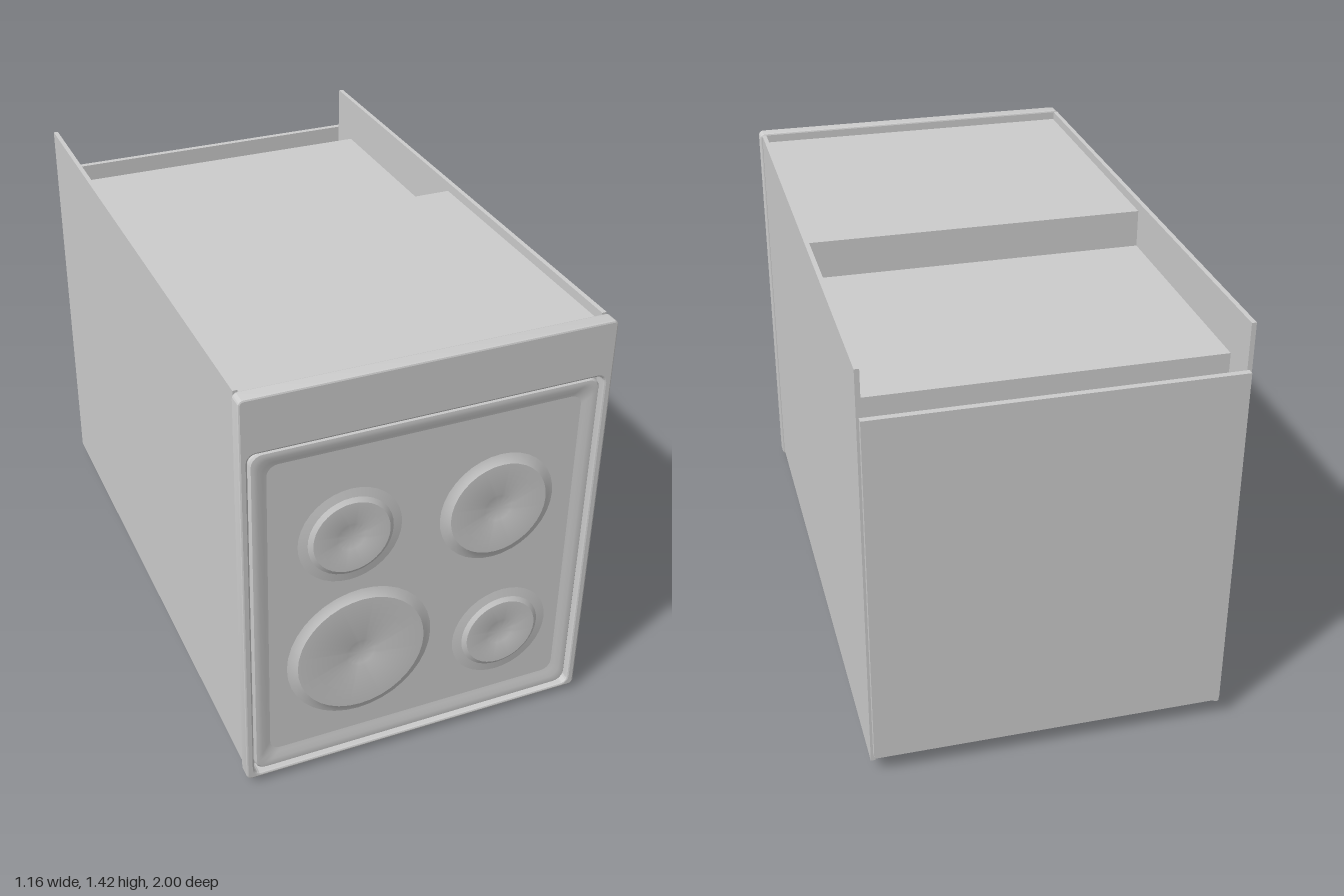
import * as THREE from 'three';
import { toCreasedNormals } from 'three/addons/utils/BufferGeometryUtils.js';

export function createModel() {
  const root = new THREE.Group();
  const grey = new THREE.MeshStandardMaterial({ color: 0xcccccc });
  grey.name = 'enamelGrey';

  const add = (name, geometry) => {
    const mesh = new THREE.Mesh(geometry, grey);
    mesh.name = name;
    root.add(mesh);
    return mesh;
  };

  // Box given by its limits on each axis
  const box = (name, x0, x1, y0, y1, z0, z1) =>
    add(name, new THREE.BoxGeometry(x1 - x0, y1 - y0, z1 - z0)
      .translate((x0 + x1) / 2, (y0 + y1) / 2, (z0 + z1) / 2));

  // Rounded rectangle outline, counter-clockwise
  const outline = (x0, x1, y0, y1, r, steps = 5) => {
    const pts = [];
    const corners = [[x1 - r, y0 + r], [x1 - r, y1 - r], [x0 + r, y1 - r], [x0 + r, y0 + r]];
    corners.forEach(([cx, cy], i) => {
      for (let s = 0; s <= steps; s++) {
        const a = (i - 1 + s / steps) * Math.PI / 2;
        pts.push(new THREE.Vector2(cx + r * Math.cos(a), cy + r * Math.sin(a)));
      }
    });
    return pts;
  };

  // Horizontal slab with openings, each opening given as [half width, z0, z1]
  const slab = (name, halfWidth, z0, z1, y0, y1, openings) => {
    const rect = (w, a, b) => [[-w, -b], [w, -b], [w, -a], [-w, -a]].map((p) => new THREE.Vector2(...p));
    const shape = new THREE.Shape(rect(halfWidth, z0, z1));
    openings.forEach((o) => shape.holes.push(new THREE.Path(rect(...o).reverse())));
    const geo = new THREE.ExtrudeGeometry(shape, { depth: y1 - y0, bevelEnabled: false });
    return add(name, geo.rotateX(-Math.PI / 2).translate(0, y0, 0));
  };

  // Cabinet: side panels, base panel and body with two cavities opening downward
  for (const s of [-1, 1]) {
    const a = s * 0.56, b = s * 0.575;
    box('sidePanel', Math.min(a, b), Math.max(a, b), 0.05, 1.42, -0.98, 0.942);
  }
  box('basePanel', -0.567, 0.567, 0.08, 1.27, -1, -0.98);
  slab('cavityWalls', 0.56, -0.86, 0.94, 0.1, 1.2, [[0.48, -0.18, 0.62], [0.48, -0.8, -0.27]]);
  box('upperRearCover', -0.56, 0.56, 1.2, 1.39, -0.04, 0.94);
  box('lowerRearCover', -0.56, 0.56, 1.2, 1.265, -0.86, -0.04);

  // Stepped door frames and plinth
  slab('innerDoorFrame', 0.558, -0.86, 0.7, 0.078, 0.1, [[0.515, -0.18, 0.64], [0.515, -0.8, -0.25]]);
  slab('outerDoorFrame', 0.56, -0.98, 0.7, 0.055, 0.078, [[0.548, -0.18, 0.66], [0.548, -0.8, -0.23]]);

  // Broad shallow ribs on the cavity side walls
  for (const s of [-1, 1]) {
    for (const [name, start, count] of [['ovenRib', -0.03, 4], ['drawerRib', -0.68, 3]]) {
      for (let i = 0; i < count; i++) {
        const z = start + i * 0.17;
        box(name, s * 0.478 - 0.006, s * 0.478 + 0.006, 0.11, 1.19, z - 0.035, z + 0.035);
      }
    }
  }

  // Control panel with a sloping lip, its profile drawn in (z, y); the ends taper
  const lip = new THREE.Shape([[0.935, 0.06], [0.7, 0.06], [0.7, 0.005], [0.715, 0.003],
    [0.77, 0.024], [0.935, 0.031]].map((p) => new THREE.Vector2(...p)));
  const lipGeo = new THREE.ExtrudeGeometry(lip, { depth: 1, bevelEnabled: false })
    .rotateY(-Math.PI / 2).translate(0.5, 0, 0);
  const pos = lipGeo.attributes.position;
  for (let i = 0; i < pos.count; i++) if (pos.getY(i) < 0.02) pos.setX(i, pos.getX(i) * 0.97);
  lipGeo.computeVertexNormals();
  add('controlLip', lipGeo);
  box('controlPanel', -0.56, 0.56, 0.036, 0.1, 0.7, 0.94);
  for (let i = 0; i < 3; i++) {
    box('controlMark', -0.47, -0.4, 0.022, 0.032, 0.79 + i * 0.03, 0.8 + i * 0.03);
  }

  // Hob surround and the plate behind it
  box('hobBackPlate', -0.567, 0.567, 0.045, 1.389, 0.938, 0.958);
  const b = 0.006;
  const surround = new THREE.Shape(outline(-0.582 + b, 0.582 - b, 0.026 + b, 1.422 - b, 0.012));
  surround.holes.push(new THREE.Path(outline(-0.557 - b, 0.557 + b, 0.04 - b, 1.241 + b, 0.03).reverse()));
  const surroundGeo = new THREE.ExtrudeGeometry(surround,
    { depth: 0.05 - 2 * b, bevelThickness: b, bevelSize: b, bevelSegments: 2 });
  add('hobSurround', toCreasedNormals(surroundGeo.translate(0, 0, 0.95 + b), 0.2));

  // Hob pan: rounded loops stepping inward over a rim to a flat floor
  const floorZ = 0.981;
  const loops = [[0, 0.955], [0, 0.984], [0.004, 0.989], [0.012, 0.99], [0.024, 0.989],
    [0.04, 0.984], [0.052, floorZ]].map(([d, z]) => outline(-0.549 + d, 0.549 - d,
    0.046 + d * 1.2, 1.232 - d, 0.035).map((p) => [p.x, p.y, z]));
  const n = loops[0].length;
  const index = [];
  for (let j = 0; j < loops.length - 1; j++) {
    for (let i = 0; i < n; i++) {
      const p = j * n + i, q = j * n + (i + 1) % n;
      index.push(p, q, q + n, p, q + n, p + n);
    }
  }
  const rim = new THREE.BufferGeometry();
  rim.setAttribute('position', new THREE.Float32BufferAttribute(loops.flat(2), 3));
  rim.setIndex(index);
  add('hobRim', toCreasedNormals(rim, 0.5));
  const floor = new THREE.Shape(loops[loops.length - 1].map(([x, y]) => new THREE.Vector2(x, y)));
  add('hobFloor', new THREE.ShapeGeometry(floor).translate(0, 0, floorZ));

  // Burners: sloped skirt, raised plate and a central dimple
  for (const [x, y, skirt, plate] of [[-0.24, 0.873, 0.165, 0.122], [0.24, 0.843, 0.19, 0.16],
    [-0.2, 0.42, 0.24, 0.21], [0.285, 0.344, 0.165, 0.12]]) {
    const profile = [[skirt, 0], [plate + 0.014, 0.005], [plate, 0.014],
      [0.054, 0.014], [0.044, 0.011], [0, 0.011]].map((p) => new THREE.Vector2(...p));
    const geo = new THREE.LatheGeometry(profile, 36).rotateX(Math.PI / 2);
    add('burner', toCreasedNormals(geo, 0.3)).position.set(x, y, floorZ);
  }

  return root;
}
